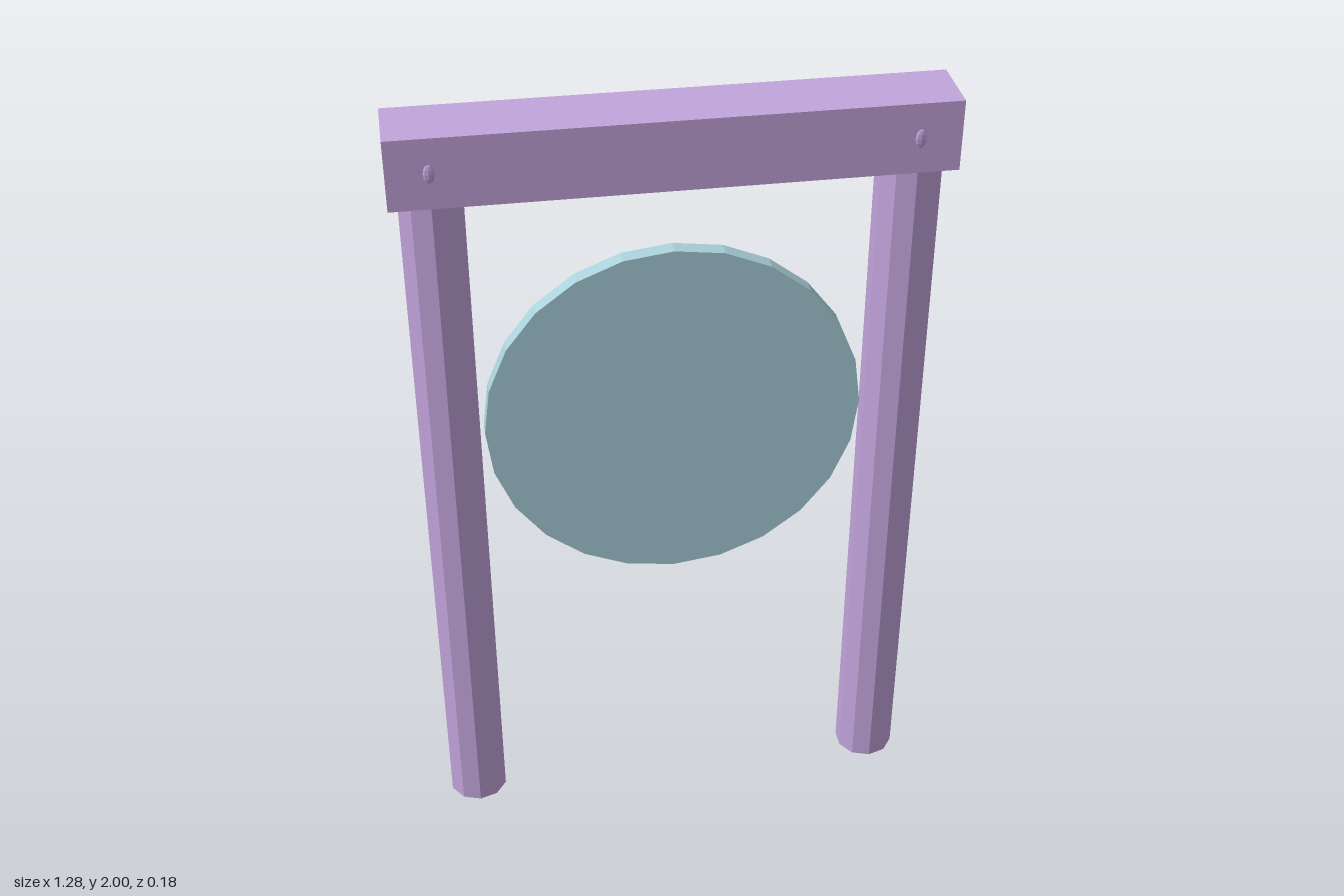
import * as THREE from 'three';

export function createModel() {
  const model = new THREE.Group();
  model.name = 'gongFrame';

  const frameMaterial = new THREE.MeshStandardMaterial({ color: 0xc2a4db, flatShading: true });
  frameMaterial.name = 'lilac';
  const discMaterial = new THREE.MeshStandardMaterial({ color: 0xaad1db, flatShading: true });
  discMaterial.name = 'paleBlue';

  function addPart(name, geometry, material, x, y, z) {
    const mesh = new THREE.Mesh(geometry, material);
    mesh.name = name;
    mesh.position.set(x, y, z);
    model.add(mesh);
    return mesh;
  }

  // Crossbeam resting on the two posts
  addPart('crossbeam', new THREE.BoxGeometry(1.285, 0.17, 0.164), frameMaterial, 0, 1.915, 0);

  // Posts run up into the beam; small peg heads show on its front and back
  const postGeometry = new THREE.CylinderGeometry(0.077, 0.077, 1.86, 10);
  const pegGeometry = new THREE.SphereGeometry(1, 8, 6).scale(0.013, 0.023, 0.006);
  for (const [side, sign] of [['left', 1], ['right', -1]]) {
    const x = sign * 0.547;
    addPart(side + 'Post', postGeometry, frameMaterial, x, 0.93, 0);
    addPart(side + 'FrontPeg', pegGeometry, frameMaterial, x, 1.915, 0.082);
    addPart(side + 'BackPeg', pegGeometry, frameMaterial, x, 1.915, -0.082);
  }

  // Thin round gong between the posts
  const discGeometry = new THREE.CylinderGeometry(0.463, 0.463, 0.04, 24).rotateX(Math.PI / 2);
  addPart('gongDisc', discGeometry, discMaterial, 0, 1.178, 0);

  return model;
}
